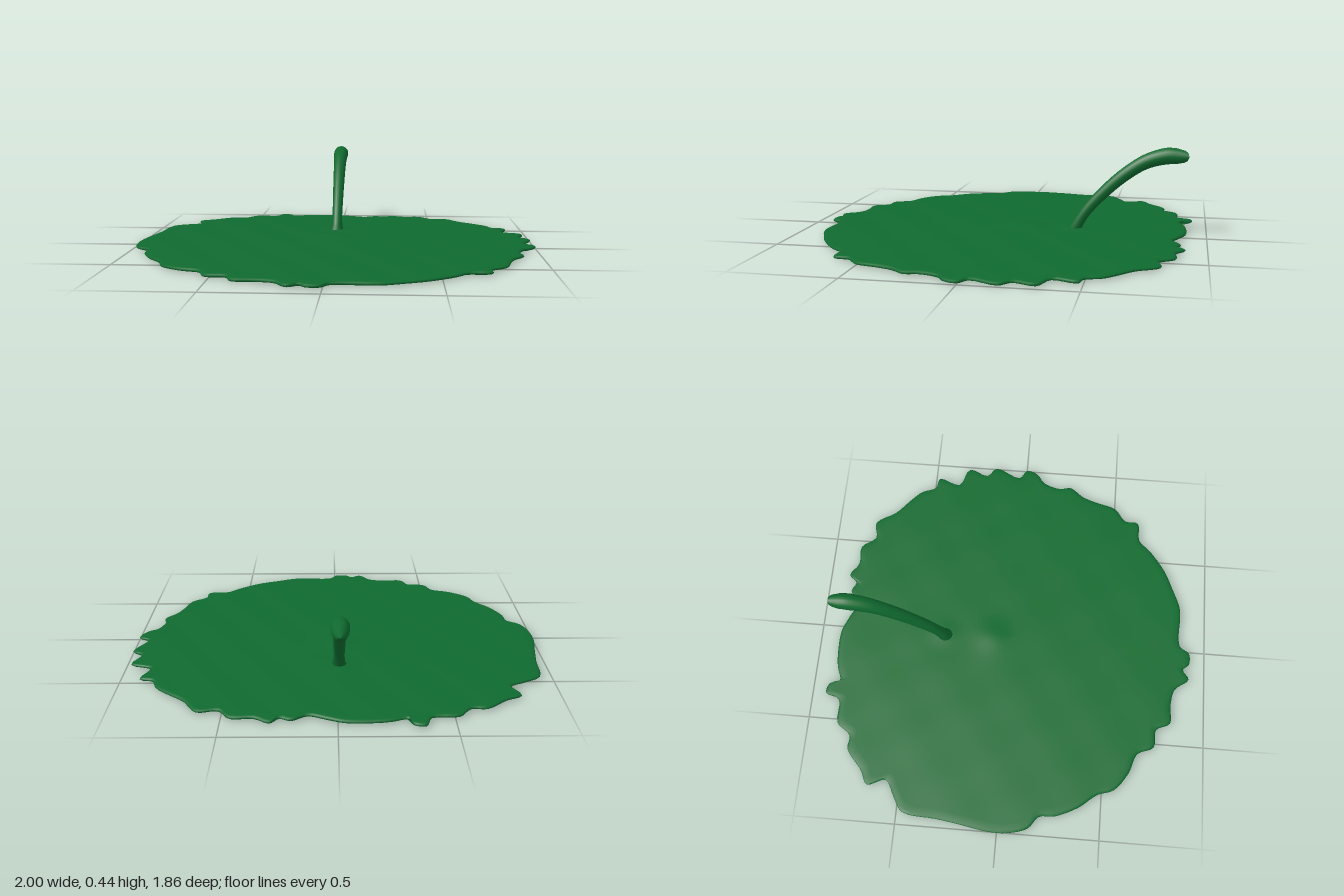
import * as THREE from 'three';

const green = new THREE.MeshStandardMaterial({ color: 0x0f6a2f });

// Ragged rim as [x, z] points, clockwise seen from above
const RIM = [
  [0.05, -0.87], [0.13, -0.84], [0.2, -0.88], [0.25, -0.86], [0.29, -0.9], [0.36, -0.86], [0.46, -0.86],
  [0.52, -0.79], [0.61, -0.8], [0.68, -0.7], [0.76, -0.63], [0.82, -0.57], [0.85, -0.5], [0.91, -0.48],
  [0.88, -0.37], [0.98, -0.32], [0.95, -0.22], [1, -0.17], [0.95, -0.04], [1, 0], [0.98, 0.06],
  [0.93, 0.1], [0.9, 0.19], [0.91, 0.25], [0.86, 0.32], [0.83, 0.4], [0.8, 0.5], [0.73, 0.56],
  [0.72, 0.63], [0.62, 0.64], [0.56, 0.7], [0.45, 0.78], [0.34, 0.83], [0.23, 0.87], [0.03, 0.87],
  [-0.01, 0.92], [-0.07, 0.92], [-0.1, 0.89], [-0.15, 0.92], [-0.21, 0.85], [-0.3, 0.83], [-0.39, 0.83],
  [-0.43, 0.76], [-0.52, 0.75], [-0.56, 0.67], [-0.66, 0.63], [-0.75, 0.56], [-0.78, 0.48], [-0.85, 0.39],
  [-0.9, 0.28], [-0.91, 0.2], [-0.97, 0.15], [-1, 0.05], [-1, -0.05], [-0.98, -0.17], [-0.96, -0.3],
  [-0.94, -0.47], [-0.87, -0.52], [-0.79, -0.57], [-0.82, -0.66], [-0.75, -0.7], [-0.65, -0.78],
  [-0.58, -0.78], [-0.52, -0.85], [-0.4, -0.86], [-0.37, -0.93], [-0.32, -0.92], [-0.3, -0.87],
  [-0.23, -0.89], [-0.17, -0.9], [-0.03, -0.9],
];

// Height of the gently rippled upper surface, with a low mound near the stem
function topHeight(x, z) {
  const r = Math.hypot(x, z);
  const mound = 0.01 * Math.exp(-(x * x + (z + 0.11) ** 2) / 0.006);
  const foot = 0.006 * Math.exp(-(x * x + (z + 0.36) ** 2) / 0.004);
  const ripple = 0.001 * Math.sin(17 * x + 3 * z) * Math.sin(15 * z - 4 * x);
  return 0.03 - 0.011 * Math.min(r, 1) + mound + foot + ripple;
}

function leafGeometry() {
  const curve = new THREE.CatmullRomCurve3(RIM.map(([x, z]) => new THREE.Vector3(x, 0, z)), true, 'centripetal');
  const n = RIM.length * 4;
  const rim = Array.from({ length: n }, (_, i) => curve.getPoint(i / n));

  // Rings run from the top centre, round the rim, to the bottom centre
  const rings = [];
  for (let j = 0; j <= 32; j++) rings.push([0.985 * j / 32, 1]);
  rings.push([0.996, 0.8], [1, 0.55], [0.996, 0.3], [0.98, 0.1], [0.95, 0], [0.5, 0], [0, 0]);

  const positions = [];
  const index = [];
  rings.forEach(([s, lift], j) => {
    for (let i = 0; i < n; i++) {
      const x = rim[i].x * s, z = rim[i].z * s;
      positions.push(x, lift * topHeight(x, z), z);
      if (j === rings.length - 1) continue;
      const a = j * n + i, b = j * n + (i + 1) % n;
      index.push(a, b + n, a + n, a, b, b + n);
    }
  });
  const geometry = new THREE.BufferGeometry();
  geometry.setAttribute('position', new THREE.Float32BufferAttribute(positions, 3));
  geometry.setIndex(index);
  geometry.computeVertexNormals();
  return geometry;
}

function stemGeometry() {
  const path = new THREE.CatmullRomCurve3([
    [0.01, -0.352], [0.05, -0.37], [0.12, -0.415], [0.215, -0.5], [0.305, -0.6],
    [0.37, -0.7], [0.4, -0.8], [0.4, -0.86], [0.397, -0.905],
  ].map(([y, z]) => new THREE.Vector3(0, y, z)));
  // Radius along the stem: flared foot, slim shaft, swollen rounded tip
  const radii = [[0, 0.042], [0.05, 0.029], [0.12, 0.026], [0.4, 0.03], [0.65, 0.034], [0.85, 0.041],
    [0.92, 0.038], [0.97, 0.029], [0.99, 0.02], [1, 0]];
  const radiusAt = (t) => {
    const k = Math.max(1, radii.findIndex(([u]) => u >= t - 1e-9));
    const [t0, r0] = radii[k - 1], [t1, r1] = radii[k];
    return THREE.MathUtils.lerp(r0, r1, (t - t0) / (t1 - t0));
  };
  const segments = 100, sides = 20;
  const geometry = new THREE.TubeGeometry(path, segments, 1, sides, false);
  const p = geometry.attributes.position;
  const v = new THREE.Vector3();
  for (let j = 0; j <= segments; j++) {
    const centre = path.getPointAt(j / segments);
    for (let i = 0; i <= sides; i++) {
      const k = j * (sides + 1) + i;
      v.fromBufferAttribute(p, k).sub(centre).multiplyScalar(radiusAt(j / segments)).add(centre);
      p.setXYZ(k, v.x, Math.max(v.y, 0.004), v.z);
    }
  }
  // Tube normals stay valid because the taper is slight
  return geometry;
}

export function createModel() {
  const model = new THREE.Group();
  model.name = 'lilyPad';
  const leaf = new THREE.Mesh(leafGeometry(), green);
  leaf.name = 'leaf';
  const stem = new THREE.Mesh(stemGeometry(), green);
  stem.name = 'stem';
  stem.position.x = -0.01;
  model.add(leaf, stem);
  return model;
}
